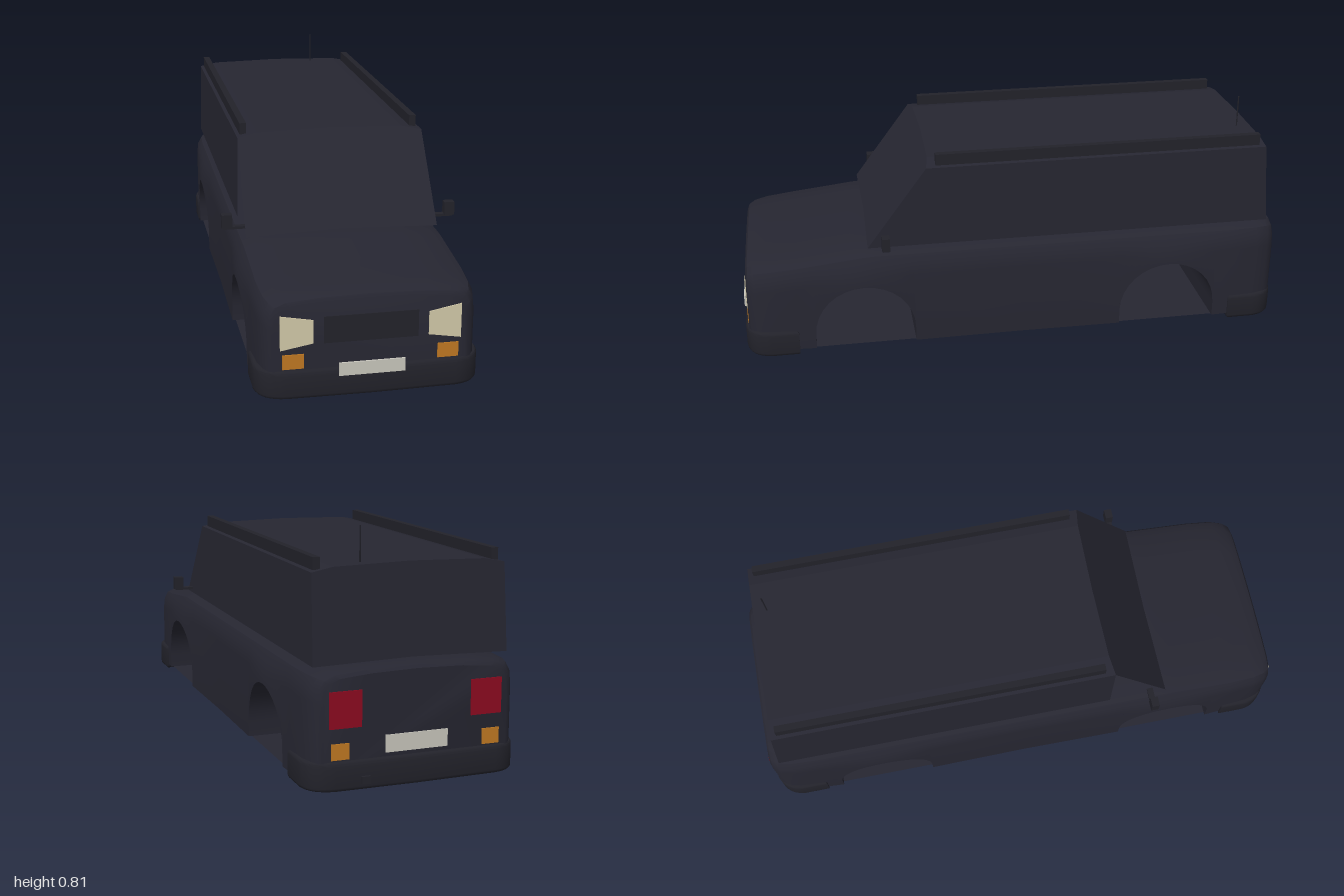
import * as THREE from 'three';
import { toCreasedNormals } from 'three/addons/utils/BufferGeometryUtils.js';

const mat = (name, color) => new THREE.MeshStandardMaterial({ name, color, side: THREE.DoubleSide });

// Linear interpolation through a table of [z, value...] rows, z descending
function lookup(rows, z, k) {
  for (let i = 0; i < rows.length - 1; i++) {
    const a = rows[i], b = rows[i + 1];
    if (z <= a[0] && z >= b[0]) return a[k] + (b[k] - a[k]) * (a[0] - z) / (a[0] - b[0]);
  }
  return rows[rows.length - 1][k];
}

const ARCH = 0.56, ARCH_R = 0.18, FLOOR = 0.02;

// Lower body: cross-sections along z, with the wheel arches cut across the underside
function bodyGeometry() {
  // z, half width, top height
  const keys = [[0.975, 0.312, 0.32], [0.967, 0.328, 0.334], [0.945, 0.343, 0.343], [0.9, 0.355, 0.35],
    [0.8, 0.362, 0.36], [0.54, 0.364, 0.388], [0, 0.364, 0.388], [-0.8, 0.364, 0.388], [-0.9, 0.358, 0.388],
    [-0.945, 0.346, 0.386], [-0.967, 0.33, 0.38], [-0.975, 0.316, 0.37]];
  const stations = keys.filter(k => Math.abs(Math.abs(k[0]) - ARCH) > ARCH_R).map(k => [k[0], FLOOR]);
  for (const c of [ARCH, -ARCH]) {
    stations.push([c + ARCH_R + 1e-5, FLOOR]);
    for (let i = 0; i <= 16; i++) {
      const t = Math.PI * i / 16;
      stations.push([c + ARCH_R * Math.cos(t), 0.075 + ARCH_R * Math.sin(t)]);
    }
    stations.push([c - ARCH_R - 1e-5, FLOOR]);
  }
  stations.sort((a, b) => b[0] - a[0]);

  const pos = [], idx = [];
  let n = 0;
  for (const [z, y0] of stations) {
    const w = lookup(keys, z, 1), h = lookup(keys, z, 2);
    const d = (Math.abs(z) - ARCH) / 0.22;
    const flare = Math.abs(d) < 1 ? 0.012 * Math.cos(d * Math.PI / 2) : 0;
    const half = [[w + flare, y0], [w + flare * 0.8, Math.max(h - 0.1, y0)], [w - 0.005, h - 0.055],
      [w - 0.02, h - 0.028], [w - 0.055, h - 0.013], [w - 0.16, h - 0.004]];
    const ring = [...half, [0, h], ...half.map(([x, y]) => [-x, y]).reverse()];
    n = ring.length;
    for (const [x, y] of ring) pos.push(x, y, z);
  }
  const last = (stations.length - 1) * n;
  for (let s = 0; s < last; s += n) {
    for (let i = 0; i < n; i++) {
      const a = s + i, b = s + (i + 1) % n;
      idx.push(a, a + n, b, b, a + n, b + n);
    }
  }
  // Flat nose and tail
  for (let i = 1; i < n - 1; i++) idx.push(0, i, i + 1, last, last + i + 1, last + i);
  const g = new THREE.BufferGeometry();
  g.setAttribute('position', new THREE.Float32BufferAttribute(pos, 3));
  g.setIndex(idx);
  // Keep outward winding
  return toCreasedNormals(g, 0.6);
}

// Flat panel as a triangle fan, corners counter-clockwise from outside
function panel(points) {
  const pos = [];
  for (let i = 1; i < points.length - 1; i++) pos.push(...points[0], ...points[i], ...points[i + 1]);
  const g = new THREE.BufferGeometry();
  g.setAttribute('position', new THREE.Float32BufferAttribute(pos, 3));
  g.computeVertexNormals();
  return g;
}

// Wrap-round bumper pointing to +z
function bumperGeometry() {
  const w = 0.36, r = 0.085, back = 0.81, tip = 0.983;
  const s = new THREE.Shape();
  s.moveTo(-w, back);
  s.lineTo(w, back);
  s.lineTo(w, tip - r);
  s.quadraticCurveTo(w - 0.008, tip - 0.012, w - r, tip - 0.004);
  s.lineTo(0, tip);
  s.lineTo(-w + r, tip - 0.004);
  s.quadraticCurveTo(-w + 0.008, tip - 0.012, -w, tip - r);
  const g = new THREE.ExtrudeGeometry(s, {
    depth: 0.071, bevelEnabled: true, bevelThickness: 0.012, bevelSize: 0.01, bevelSegments: 3, curveSegments: 8,
  });
  g.rotateX(Math.PI / 2);
  g.translate(0, 0.083, 0);
  return toCreasedNormals(g, 0.5);
}

export function createModel() {
  const root = new THREE.Group();
  root.name = 'van';
  const paint = mat('dark paint', 0x262631);
  const trim = mat('dark trim', 0x22222a);
  const lens = mat('cream lens', 0xd2c9a8);
  const amber = mat('amber lens', 0xbf7822);
  const red = mat('red lens', 0x8c0a20);
  const white = mat('plate white', 0xc8c6bc);

  const add = (name, geo, m, x = 0, y = 0, z = 0) => {
    const mesh = new THREE.Mesh(geo, m);
    mesh.name = name;
    mesh.position.set(x, y, z);
    root.add(mesh);
    return mesh;
  };
  const box = (name, m, x0, x1, y0, y1, z0, z1) =>
    add(name, new THREE.BoxGeometry(x1 - x0, y1 - y0, z1 - z0), m, (x0 + x1) / 2, (y0 + y1) / 2, (z0 + z1) / 2);

  add('lowerBody', bodyGeometry(), paint);
  const floor = new THREE.PlaneGeometry(0.71, 1.8);
  floor.rotateX(Math.PI / 2);
  add('floorPan', floor, paint, 0, FLOOR - 0.001, 0);
  add('frontBumper', bumperGeometry(), trim);
  add('rearBumper', bumperGeometry(), trim).rotation.y = Math.PI;

  // Cabin: hollow shell of flat panels standing just above the body
  const base = 0.39;
  const frontAt = (x, y) => [x, y, 0.54 - (y - base) * 0.742];
  const backAt = (x, y) => [x, y, -0.935 + (y - base) * 0.08];
  const outline = [[0, 0.398], [0.335, base], [0.331, 0.68], [0.26, 0.694], [0, 0.7],
    [-0.26, 0.694], [-0.331, 0.68], [-0.335, base]];
  add('windscreen', panel(outline.map(p => frontAt(...p))), paint);
  add('rearPanel', panel(outline.map(([x, y]) => backAt(-x, y))), paint);
  for (let i = 2; i < 6; i++) {
    const a = outline[i], b = outline[i + 1];
    add('roofPanel', panel([frontAt(...a), backAt(...a), backAt(...b), frontAt(...b)]), paint);
  }
  add('leftSide', panel([frontAt(0.335, base), backAt(0.335, base), backAt(0.331, 0.68), frontAt(0.331, 0.68)]), paint);
  // The front quarter opening is left clear on this side
  add('rightSide', panel([backAt(-0.335, base), [-0.335, base, 0.325], frontAt(-0.331, 0.68), backAt(-0.331, 0.68)]), paint);

  // Parts mirrored on both sides
  for (const s of [1, -1]) {
    const sideBox = (name, m, x0, x1, ...r) => box(name, m, Math.min(s * x0, s * x1), Math.max(s * x0, s * x1), ...r);
    sideBox('roofRail', trim, 0.295, 0.319, 0.684, 0.724, -0.89, 0.29);
    sideBox('mirrorArm', trim, 0.325, 0.405, 0.404, 0.413, 0.468, 0.49);
    sideBox('mirrorHead', trim, 0.375, 0.411, 0.408, 0.456, 0.465, 0.493);
    sideBox('frontIndicator', amber, 0.217, 0.286, 0.1, 0.149, 0.974, 0.979);
    sideBox('rearIndicator', amber, 0.23, 0.29, 0.1, 0.152, -0.979, -0.974);
    sideBox('tailLight', red, 0.188, 0.296, 0.2, 0.318, -0.979, -0.974);
    const lamp = new THREE.Shape([[0.187, 0.183], [0.293, 0.165], [0.293, 0.281], [0.187, 0.261]]
      .map(([x, y]) => new THREE.Vector2(s * x, y)));
    add('headlight', new THREE.ExtrudeGeometry(lamp, { depth: 0.005, bevelEnabled: false }), lens, 0, 0, 0.974);
  }

  // Centre details
  box('grille', trim, -0.153, 0.153, 0.18, 0.27, 0.974, 0.978);
  box('frontPlate', white, -0.108, 0.107, 0.073, 0.117, 0.992, 0.998);
  box('rearPlate', white, -0.107, 0.107, 0.108, 0.165, -0.979, -0.974);
  box('towEye', trim, 0.165, 0.195, 0.02, 0.045, -1, -0.97);
  add('antenna', new THREE.CylinderGeometry(0.0025, 0.0025, 0.12, 6), trim, 0.15, 0.752, -0.86);
  return root;
}
